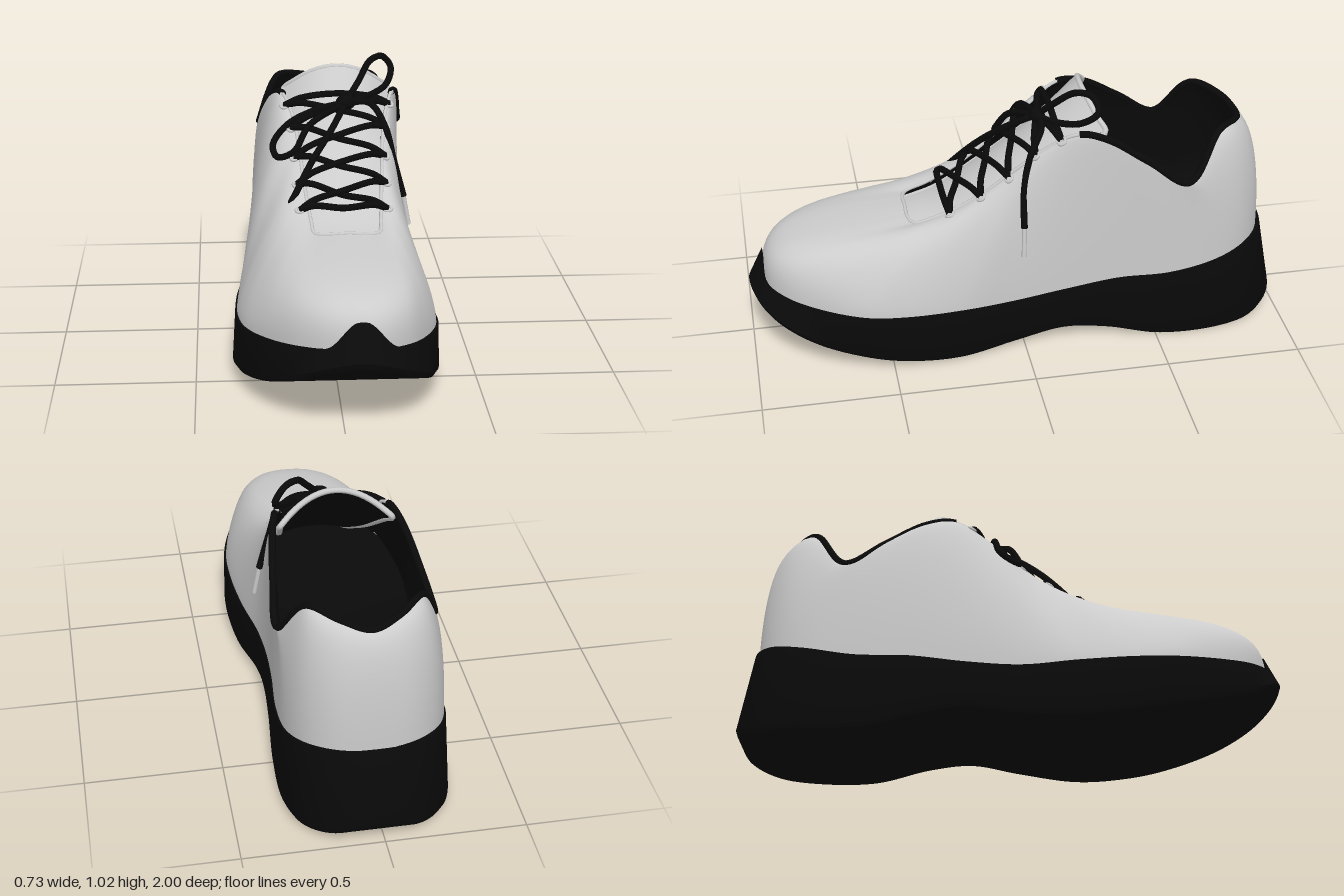
import * as THREE from 'three';
import { toCreasedNormals } from 'three/addons/utils/BufferGeometryUtils.js';

const V = (x, y, z) => new THREE.Vector3(x, y, z);
const mat = (color) => new THREE.MeshStandardMaterial({ color, side: THREE.DoubleSide });
const grey = mat(0xcccccc), black = mat(0x0a0a0a);
const KEYS = 28, N = KEYS * 10;

// Rim of the sole, toe to heel: z, half width, y
const RIM = [
  [0.965, 0, 0.305], [0.945, 0.1, 0.3], [0.88, 0.19, 0.285], [0.76, 0.272, 0.262], [0.6, 0.337, 0.24],
  [0.45, 0.354, 0.228], [0.25, 0.343, 0.218], [0.05, 0.314, 0.21], [-0.15, 0.298, 0.235], [-0.35, 0.294, 0.268],
  [-0.55, 0.297, 0.278], [-0.74, 0.282, 0.315], [-0.86, 0.225, 0.345], [-0.927, 0.135, 0.357], [-0.945, 0, 0.36]];
// Ground edge of the sole
const TREAD = [
  [1, 0, 0.245], [0.975, 0.11, 0.22], [0.905, 0.2, 0.172], [0.78, 0.283, 0.115], [0.6, 0.342, 0.06],
  [0.45, 0.364, 0.03], [0.25, 0.354, 0.01], [0.03, 0.32, 0.028], [-0.15, 0.306, 0.062], [-0.31, 0.302, 0.048],
  [-0.52, 0.305, 0.003], [-0.75, 0.297, 0.003], [-0.885, 0.25, 0.012], [-0.975, 0.15, 0.035], [-1, 0, 0.07]];
// Throat and collar edge of the upper
const EDGE = [
  [0.41, 0, 0.515], [0.41, 0.07, 0.512], [0.39, 0.115, 0.51], [0.32, 0.125, 0.53], [0.22, 0.135, 0.575],
  [0.12, 0.145, 0.64], [0.02, 0.155, 0.72], [-0.08, 0.17, 0.8], [-0.2, 0.205, 0.87], [-0.3, 0.23, 0.85],
  [-0.45, 0.258, 0.755], [-0.6, 0.275, 0.66], [-0.72, 0.195, 0.812], [-0.81, 0.1, 0.8], [-0.845, 0, 0.775]];
// Height and tightness of the bulge between rim and edge
const BULGE_Y = [0.475, 0.475, 0.47, 0.455, 0.43, 0.43, 0.49];
const BULGE_K = [0.88, 0.88, 0.85, 0.76, 0.58, 0.43, 0.34, 0.35, 0.42, 0.5, 0.55, 0.55, 0.6, 0.6, 0.6];

const table = (rows) => (z) => {
  let i = 0;
  while (i < rows.length - 2 && z < rows[i + 1][0]) i++;
  const [a, b] = [rows[i], rows[i + 1]];
  return THREE.MathUtils.lerp(a[1], b[1], THREE.MathUtils.clamp((a[0] - z) / (a[0] - b[0]), 0, 1));
};
const soleMid = table([[0.95, 0.05], [0.7, 0.02], [0.45, 0], [0, -0.02], [-0.2, -0.005], [-0.5, 0.014], [-0.95, 0.025]]);
const edgeMid = table([[-0.25, 0.045], [-0.55, 0.033], [-0.95, 0.02]]);

// Closed loop of points through mirrored keys
const mirrorLoop = (rows, mid) => {
  const at = (i, s) => V(mid(rows[i][0]) + s * rows[i][1], rows[i][2], rows[i][0]);
  return Array.from({ length: KEYS }, (_, i) => (i <= 14 ? at(i, 1) : at(KEYS - i, -1)));
};
const closedCurve = (pts) => new THREE.CatmullRomCurve3(pts, true);
const ring = (fn) => Array.from({ length: N }, (_, i) => fn(i / N));

// Skin over a list of equal-length rings
function loft(rings, closed = true) {
  const n = rings[0].length, idx = [];
  for (let j = 0; j < rings.length - 1; j++) {
    for (let i = 0; i < (closed ? n : n - 1); i++) {
      const k = (i + 1) % n, a = j * n + i, b = j * n + k;
      idx.push(a, b, b + n, a, b + n, a + n);
    }
  }
  const g = new THREE.BufferGeometry().setFromPoints(rings.flat());
  g.setIndex(idx);
  g.computeVertexNormals();
  return g;
}

// Control loops of the upper, joined across by a cubic curve
const base = mirrorLoop(RIM.map(([z, w, y]) => [z * 0.984, w * 0.985, y - 0.015]), soleMid);
const edge = mirrorLoop(EDGE, edgeMid);
const controls = [[], []];
base.forEach((b, i) => {
  const h = Math.min(i, KEYS - i), k = BULGE_K[h], corner = V(b.x, BULGE_Y[h] ?? edge[i].y, b.z);
  controls[0].push(b.clone().lerp(corner, k));
  controls[1].push(edge[i].clone().lerp(corner, k));
});
const shellCurves = [base, ...controls, edge].map(closedCurve);
const shell = (u, t) => new THREE.CubicBezierCurve3(...shellCurves.map((c) => c.getPoint((u + 1) % 1))).getPoint(t);

// Centre line of the tongue, and its arched surface
const tongueLine = new THREE.CatmullRomCurve3([[0.44, 0.49], [0.3, 0.525], [0.15, 0.62], [0, 0.735], [-0.12, 0.85], [-0.235, 0.97]]
  .map(([z, y]) => V(0.045, y, z)));
const tonguePoint = (v, s) => {
  const p = tongueLine.getPoint(v), drop = (0.012 + 0.085 * v * v) * s * s;
  return V(p.x + s * (0.11 + 0.09 * v), p.y - drop, p.z - drop * 0.55);
};
const tongueY = table(tongueLine.getPoints(40).map((p) => [p.z, p.y]));

export function createModel() {
  const model = new THREE.Group();
  const add = (name, geo, material, parent = model) => {
    const m = new THREE.Mesh(geo, material);
    m.name = name;
    parent.add(m);
    return m;
  };
  const tube = (name, pts, r, material, parent) => add(name,
    new THREE.TubeGeometry(new THREE.CatmullRomCurve3(pts), pts.length * 6, r, 7), material, parent);
  const group = (name) => {
    const g = new THREE.Group();
    g.name = name;
    model.add(g);
    return g;
  };

  // Sole with bevelled tread edge and toe bumper
  const rim = closedCurve(mirrorLoop(RIM, soleMid)), tread = closedCurve(mirrorLoop(TREAD, soleMid));
  const flat = (p, dy) => V(soleMid(p.z), p.y + dy, p.z);
  const bumped = (u) => {
    const p = rim.getPoint(u);
    const s = p.z > 0.8 ? 1 - THREE.MathUtils.smoothstep(Math.abs(p.x - 0.058), 0.01, 0.125) : 0;
    return V(p.x, p.y + 0.085 * s, p.z - 0.022 * s);
  };
  const inset = (u) => {
    const p = tread.getPoint(u), c = soleMid(p.z);
    return V(c + (p.x - c) * 0.96, p.y, p.z * 0.993);
  };
  add('sole', toCreasedNormals(loft([
    ring((u) => flat(inset(u), 0)), ring(inset),
    ring((u) => tread.getPoint(u).add(V(0, 0.022, 0))), ring(bumped),
    ring((u) => flat(rim.getPoint(u), -0.02)),
  ]), 0.7), black);

  // Upper
  add('upper', loft(Array.from({ length: 17 }, (_, j) => ring((u) => shell(u, j / 16)))), grey);

  // Dark lining and insole, close inside the upper
  const inner = (t, k, dy) => ring((u) => {
    const p = shell(u, t);
    return V(0.015 + (p.x - 0.015) * k, p.y + dy, p.z * (k + 0.04));
  });
  const floor = inner(0, 0.93, 0.035);
  add('lining', loft([inner(1, 0.96, -0.004), inner(0.75, 0.94, -0.02), inner(0.5, 0.93, -0.02),
    inner(0.25, 0.93, 0), floor, floor.map((p) => flat(p, 0))]), black);

  // Edge bindings
  const along = (a, b) => Array.from({ length: 61 }, (_, i) => shell((a + (b - a) * i / 60) / KEYS, 1));
  tube('collarTrim', along(8, 20), 0.013, black);
  tube('throatEdge', along(-8, 8), 0.007, grey);

  // Tongue with dark back and rolled border
  const tongue = group('tongue');
  const sheet = (dy, dz) => loft(Array.from({ length: 21 }, (_, j) =>
    Array.from({ length: 13 }, (_, i) => tonguePoint(j / 20, i / 6 - 1).add(V(0, dy, dz)))), false);
  add('tongueFront', sheet(0, 0), grey, tongue);
  add('tongueBack', sheet(-0.01, -0.012), black, tongue);
  const border = [];
  for (let i = 0; i <= 10; i++) border.push(tonguePoint(i / 10, -1));
  for (let i = 1; i < 10; i++) border.push(tonguePoint(1, i / 5 - 1));
  for (let i = 10; i >= 0; i--) border.push(tonguePoint(i / 10, 1));
  tube('tongueBorder', border.map((p) => p.add(V(0, -0.005, -0.006))), 0.011, grey, tongue);

  // Eyelets
  const eyelets = group('eyelets');
  const rows = [4, 5, 5.9, 6.8, 7.55].map((k) => [1, -1].map((s) => {
    const u = s * k / KEYS, p = shell(u, 0.93);
    const n = shell(u + 0.004, 0.93).sub(p).cross(shell(u, 0.97).sub(p)).normalize();
    const e = add('eyelet', new THREE.TorusGeometry(0.014, 0.006, 6, 14), grey, eyelets);
    e.position.copy(p);
    e.quaternion.setFromUnitVectors(V(0, 0, 1), n);
    return p;
  }));

  // Laces crossing over the tongue
  const laces = group('laces');
  const R = 0.0125;
  const cross = (a, b, lift) => {
    const m = a.clone().lerp(b, 0.5);
    m.z += 0.008;
    m.y = tongueY(m.z) + lift;
    const up = V(0, 0.016, 0.006);
    tube('lace', [a, a.clone().lerp(m, 0.3).add(up), m, b.clone().lerp(m, 0.3).add(up), b], R, black, laces);
  };
  cross(...rows[0], 0.026);
  cross(...rows[4], 0.026);
  for (let i = 0; i < 4; i++) {
    cross(rows[i][0], rows[i + 1][1], 0.022);
    cross(rows[i][1], rows[i + 1][0], 0.038);
  }

  // Bow: knot, two loops, two ends with tips
  const bow = group('bow');
  const strand = (name, pts) => tube(name, pts.map((p) => V(...p)), R, black, bow);
  const knot = add('knot', new THREE.SphereGeometry(0.032, 14, 10), black, bow);
  knot.position.set(0.07, 0.865, -0.08);
  knot.scale.set(1.2, 0.9, 0.9);
  strand('leftLoop', [[0.07, 0.865, -0.08], [0.12, 0.93, -0.13], [0.17, 0.995, -0.2], [0.22, 1, -0.25],
    [0.255, 0.955, -0.265], [0.235, 0.905, -0.21], [0.16, 0.88, -0.12], [0.07, 0.865, -0.08]]);
  strand('rightLoop', [[0.07, 0.865, -0.08], [-0.05, 0.84, -0.06], [-0.15, 0.79, -0.05], [-0.205, 0.72, -0.03],
    [-0.19, 0.685, 0.02], [-0.13, 0.71, 0.04], [-0.07, 0.8, 0], [0.07, 0.865, -0.08]]);
  strand('rightEnd', [[0.07, 0.865, -0.08], [0.01, 0.79, 0.03], [-0.07, 0.69, 0.12], [-0.14, 0.58, 0.2], [-0.2, 0.49, 0.25]]);
  strand('leftEnd', [[0.07, 0.865, -0.08], [0.16, 0.86, -0.08], [0.215, 0.78, -0.03], [0.245, 0.66, 0], [0.283, 0.52, 0.005]]);
  tube('rightTip', [V(-0.2, 0.49, 0.25), V(-0.235, 0.445, 0.275), V(-0.27, 0.4, 0.295)], 0.009, grey, bow);
  tube('leftTip', [V(0.283, 0.52, 0.005), V(0.293, 0.465, 0.007), V(0.303, 0.41, 0.01)], 0.009, grey, bow);

  return model;
}
